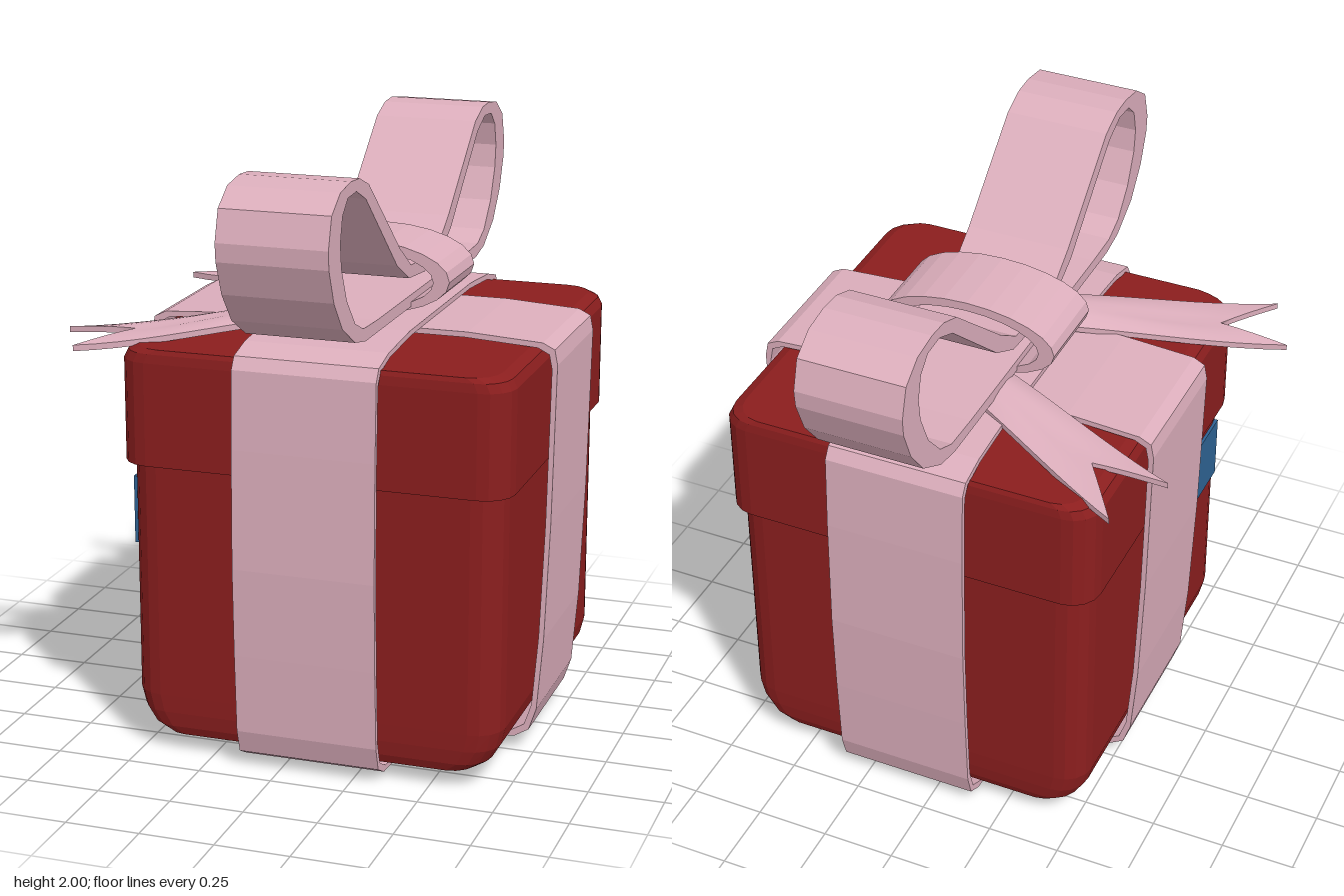
import * as THREE from 'three';

const CX = 0.1; // the box sits a little to +x, balanced by the ribbon tails at -x
const mat = (color, extra = {}) => new THREE.MeshStandardMaterial({ color, ...extra });

function add(parent, name, geometry, material, x = 0, y = 0, z = 0) {
  const mesh = new THREE.Mesh(geometry, material);
  mesh.name = name;
  mesh.position.set(x, y, z);
  parent.add(mesh);
  return mesh;
}

// Stack of rounded rectangles; each layer is [y, half width, half depth]
function roundedStack(half, r, layers) {
  const ring = [], SEG = 4;
  for (let q = 0; q < 4; q++) {
    const sx = q === 0 || q === 3 ? 1 : -1, sz = q < 2 ? 1 : -1;
    for (let i = 0; i <= SEG; i++) {
      const a = (q + i / SEG) * Math.PI / 2;
      ring.push([1 + (sx - 1) + (Math.cos(a) - sx) * r / half, sz + (Math.sin(a) - sz) * r / half]);
    }
  }
  const pos = [], idx = [], n = ring.length;
  layers.forEach(([y, hx, hz], k) => {
    ring.forEach(([x, z], i) => {
      pos.push(x * hx, y, z * hz);
      if (k === 0) return;
      const j = (i + 1) % n, lo = (k - 1) * n, hi = k * n;
      idx.push(lo + i, hi + i, lo + j, lo + j, hi + i, hi + j);
    });
  });
  const g = new THREE.BufferGeometry();
  g.setAttribute('position', new THREE.Float32BufferAttribute(pos, 3));
  g.setIndex(idx);
  g.computeVertexNormals();
  return g;
}

// Closed ribbon: the area between two outlines, given a width
function ribbon(outer, inner, width) {
  const v = (pts) => pts.map(([x, y]) => new THREE.Vector2(x, y));
  const shape = new THREE.Shape(v(outer));
  shape.holes.push(new THREE.Path(v(inner)));
  const g = new THREE.ExtrudeGeometry(shape, { depth: width, bevelEnabled: false });
  return g.translate(0, 0, -width / 2);
}

// Completes a half outline that runs from bottom centre to top centre
const mirror = (half) => [...half, ...half.slice(1, -1).reverse().map(([x, y]) => [-x, y])];

// Same outline, thinner by t all round
function inset(pts, t) {
  const h = Math.max(...pts.map((p) => p[0]));
  const ys = pts.map((p) => p[1]);
  const lo = Math.min(...ys), hi = Math.max(...ys), c = (lo + hi) / 2;
  return pts.map(([x, y]) => [x * (1 - t / h), c + (y - c) * (1 - 2 * t / (hi - lo))]);
}

function ellipse(rx, ry, cy, n = 24) {
  return Array.from({ length: n }, (_, i) => {
    const a = i / n * Math.PI * 2;
    return [rx * Math.cos(a), cy + ry * Math.sin(a)];
  });
}

// Arched strip with a V-notched end; each line is [startX, startZ, endX, endZ]
function tail(lines) {
  const g = new THREE.BoxGeometry(1, 1, 1, 12, 1, 8);
  const p = g.attributes.position;
  const at = ([x0, z0, x1, z1], u) => [x0 + (x1 - x0) * u, z0 + (z1 - z0) * u];
  for (let i = 0; i < p.count; i++) {
    const u = 0.5 - p.getX(i), v = p.getZ(i) + 0.5, k = v < 0.5 ? 0 : 1;
    const a = at(lines[k], u), b = at(lines[k + 1], u), f = v * 2 - k;
    const drop = 0.075 * u * u * (3 - 2 * u);
    const arch = 0.04 * Math.sin(Math.PI * v) * (1 - 0.6 * u);
    p.setXYZ(i, a[0] + (b[0] - a[0]) * f,
      1.455 - drop + arch + p.getY(i) * 0.02, a[1] + (b[1] - a[1]) * f);
  }
  g.computeVertexNormals();
  return g;
}

export function createModel() {
  const group = new THREE.Group();
  group.name = 'giftBox';
  const red = mat(0x8b1e1e, { flatShading: true });
  const pink = mat(0xdcaebc);
  const blue = mat(0x2f6394);

  // Box and overhanging lid
  add(group, 'boxBody', roundedStack(0.63, 0.1, [
    [0.06, 0, 0], [0.06, 0.54, 0.61], [0.09, 0.585, 0.622], [0.14, 0.615, 0.628],
    [0.2, 0.63, 0.63], [1.1, 0.63, 0.63], [1.1, 0, 0],
  ]), red, CX, 0, 0.005);
  add(group, 'lid', roundedStack(0.655, 0.1, [
    [1, 0, 0], [1, 0.655, 0.655], [1.345, 0.655, 0.655], [1.375, 0.64, 0.652],
    [1.39, 0.605, 0.645], [1.39, 0, 0],
  ]), red, CX, 0, 0.005);

  // Ribbon bands wrapped round the box
  const sideBand = mirror([[0, 0.03], [0.42, 0.035], [0.58, 0.045], [0.63, 0.075], [0.655, 0.15],
    [0.675, 0.4], [0.69, 0.8], [0.7, 1.34], [0.69, 1.39], [0.65, 1.41], [0.4, 1.425], [0, 1.425]]);
  add(group, 'sideBand', ribbon(sideBand, inset(sideBand, 0.018), 0.48), pink, CX);

  const frontBand = mirror([[0, 0], [0.4, 0.005], [0.6, 0.018], [0.66, 0.05], [0.685, 0.13],
    [0.7, 0.4], [0.71, 0.7], [0.705, 1.1], [0.695, 1.36], [0.67, 1.4], [0.57, 1.425],
    [0.35, 1.442], [0, 1.442]]);
  add(group, 'frontBand', ribbon(frontBand, inset(frontBand, 0.018), 0.48).rotateY(-Math.PI / 2), pink, CX);

  // Two-loop bow
  const bowOuter = mirror([[0, 1.47], [0.62, 1.47], [0.72, 1.49], [0.84, 1.56], [0.92, 1.66],
    [0.965, 1.77], [0.97, 1.83], [0.94, 1.93], [0.86, 1.985], [0.76, 2], [0.68, 1.995],
    [0.59, 1.96], [0.4, 1.8], [0.27, 1.69], [0.15, 1.61], [0, 1.6]]);
  const bowInner = mirror([[0, 1.51], [0.5, 1.51], [0.64, 1.515], [0.72, 1.55], [0.8, 1.64],
    [0.85, 1.75], [0.86, 1.83], [0.84, 1.91], [0.79, 1.955], [0.71, 1.96], [0.62, 1.92],
    [0.46, 1.78], [0.3, 1.64], [0.17, 1.57], [0, 1.555]]);
  add(group, 'bowLoops', ribbon(bowOuter, bowInner, 0.36).rotateY(-Math.PI / 2), pink, CX);

  // Knot band round the middle of the bow
  add(group, 'bowKnot', ribbon(ellipse(0.31, 0.123, 1.56), ellipse(0.255, 0.098, 1.555), 0.29), pink, CX, 0, 0.003);

  // Notched ribbon tails
  add(group, 'frontTail', tail([
    [0.08, 0.09, -0.8, 0.46], [0.08, 0.18, -0.56, 0.47], [0.08, 0.28, -0.69, 0.68],
  ]), pink);
  add(group, 'backTail', tail([
    [0.08, -0.28, -0.61, -0.64], [0.08, -0.18, -0.46, -0.42], [0.08, -0.09, -0.71, -0.4],
  ]), pink);

  // Blank label on the side
  add(group, 'label', new THREE.BoxGeometry(0.014, 0.23, 0.26), blue, -0.533, 0.815, 0.43);

  return group;
}
